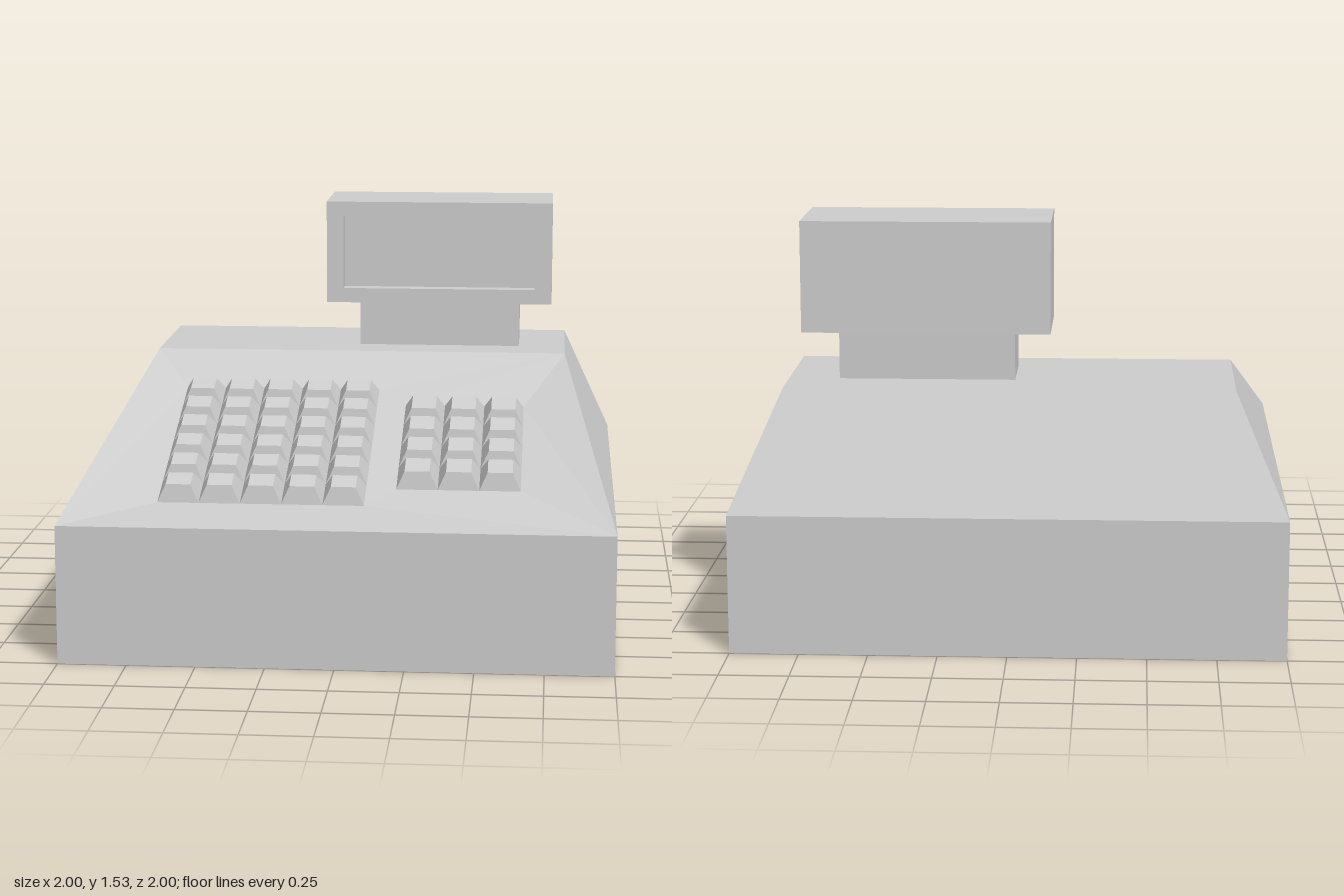
import * as THREE from 'three';

const grey = new THREE.MeshStandardMaterial({ color: 0xcccccc });
grey.name = 'light grey';

const RISE = 0.435 / 1.25;            // slope of the keyboard panel
const TILT = Math.atan(RISE);
const KEY_H = 0.06, KEY_INSET = 0.03, SINK = 0.04;
const slopeY = z => 0.51 + (1 - z) * RISE;

// Key pads: extents in x and z, and key counts
const pads = [
  { name: 'mainKeys', x0: -0.665, x1: 0.09, z0: -0.03, z1: 0.77, cols: 5, rows: 6 },
  { name: 'sideKeys', x0: 0.2, x1: 0.655, z0: 0.08, z1: 0.66, cols: 3, rows: 4 },
];

function add(parent, name, geometry, x = 0, y = 0, z = 0) {
  const mesh = new THREE.Mesh(geometry, grey);
  mesh.name = name;
  mesh.position.set(x, y, z);
  parent.add(mesh);
  return mesh;
}

// Flat-shaded faces from corner lists (counter-clockwise, fanned)
function facets(points, faces) {
  const pos = [];
  for (const f of faces)
    for (let i = 1; i < f.length - 1; i++)
      for (const k of [f[0], f[i], f[i + 1]]) pos.push(...points[k]);
  const g = new THREE.BufferGeometry();
  g.setAttribute('position', new THREE.Float32BufferAttribute(pos, 3));
  g.computeVertexNormals();
  return g;
}

// Key cap: a box whose top is drawn in on every side
function keyGeometry(w, d) {
  const g = new THREE.BoxGeometry(w, KEY_H, d).toNonIndexed();
  g.translate(0, KEY_H / 2, 0);
  const p = g.attributes.position;
  for (let i = 0; i < p.count; i++) {
    if (p.getY(i) < KEY_H / 2) continue;
    p.setX(i, p.getX(i) - Math.sign(p.getX(i)) * KEY_INSET);
    p.setZ(i, p.getZ(i) - Math.sign(p.getZ(i)) * KEY_INSET);
  }
  g.computeVertexNormals();
  return g;
}

function keyPad({ name, x0, x1, z0, z1, cols, rows }) {
  const pad = new THREE.Group();
  pad.name = name;
  const zc = (z0 + z1) / 2;
  pad.position.set((x0 + x1) / 2, slopeY(zc) - SINK, zc);
  pad.rotation.x = TILT;
  const w = (x1 - x0) / cols, d = (z1 - z0) / Math.cos(TILT) / rows;
  const geometry = keyGeometry(w, d);
  for (let r = 0; r < rows; r++)
    for (let c = 0; c < cols; c++)
      add(pad, 'key', geometry, (c - (cols - 1) / 2) * w, 0, (r - (rows - 1) / 2) * d);
  return pad;
}

export function createModel() {
  const model = new THREE.Group();
  model.name = 'cashRegister';

  // Cabinet corners: floor, shoulder, and top
  const corners = {
    a: [-1, 0, -1], b: [1, 0, -1], c: [1, 0, 1], d: [-1, 0, 1],
    e: [-1, 0.51, -1], f: [1, 0.51, -1], C: [1, 0.51, 1], D: [-1, 0.51, 1],
    g: [-0.81, 0.945, -0.83], h: [0.81, 0.945, -0.83],
    A: [-0.81, 0.945, -0.25], B: [0.81, 0.945, -0.25],
  };
  // Sunken corners of each pad: back left, back right, front right, front left
  pads.forEach((p, i) => {
    [[p.x0, p.z0], [p.x1, p.z0], [p.x1, p.z1], [p.x0, p.z1]].forEach(([x, z], k) => {
      corners['PQ'[i] + (k + 1)] = [x, slopeY(z) - SINK, z];
    });
  });
  const quads = list => list.map(s => s.split(''));
  add(model, 'cabinet', facets(corners, quads([
    'abcd', 'dcCD', 'cbfC', 'bafe'.replace('bafe', 'baef'), 'adDe',
    'fegh', 'CfhB', 'eDAg', 'ABhg',
  ])));

  // Sloping panel that dips towards both key pads
  add(model, 'keyPanel', facets(corners, [
    ['A', 'D', 'P1'], ['D', 'P4', 'P1'], ['D', 'C', 'P3'], ['D', 'P3', 'P4'],
    ['P3', 'C', 'Q4'], ['Q4', 'C', 'Q3'], ['Q3', 'C', 'Q2'], ['Q2', 'C', 'B'],
    ['Q2', 'B', 'Q1'], ['Q1', 'B', 'P2'], ['P2', 'B', 'A'], ['A', 'P1', 'P2'],
    ['P2', 'P3', 'Q4'], ['P2', 'Q4', 'Q1'],
  ]));
  for (const p of pads) model.add(keyPad(p));

  // Display: neck, housing, and a front frame around the recessed screen
  const display = new THREE.Group();
  display.name = 'display';
  display.position.set(0.305, 0, 0);
  model.add(display);
  add(display, 'neck', new THREE.BoxGeometry(0.64, 0.18, 0.25), 0, 1.035, -0.54);
  add(display, 'housing', new THREE.BoxGeometry(0.9, 0.405, 0.32), 0, 1.3275, -0.57);

  const rect = (target, w, h) => target.moveTo(-w / 2, -h / 2).lineTo(w / 2, -h / 2)
    .lineTo(w / 2, h / 2).lineTo(-w / 2, h / 2).closePath();
  const frame = rect(new THREE.Shape(), 0.9, 0.405);
  frame.holes.push(rect(new THREE.Path(), 0.765, 0.29));
  add(display, 'screenFrame',
    new THREE.ExtrudeGeometry(frame, { depth: 0.06, bevelEnabled: false }), 0, 1.3275, -0.41);

  return model;
}
